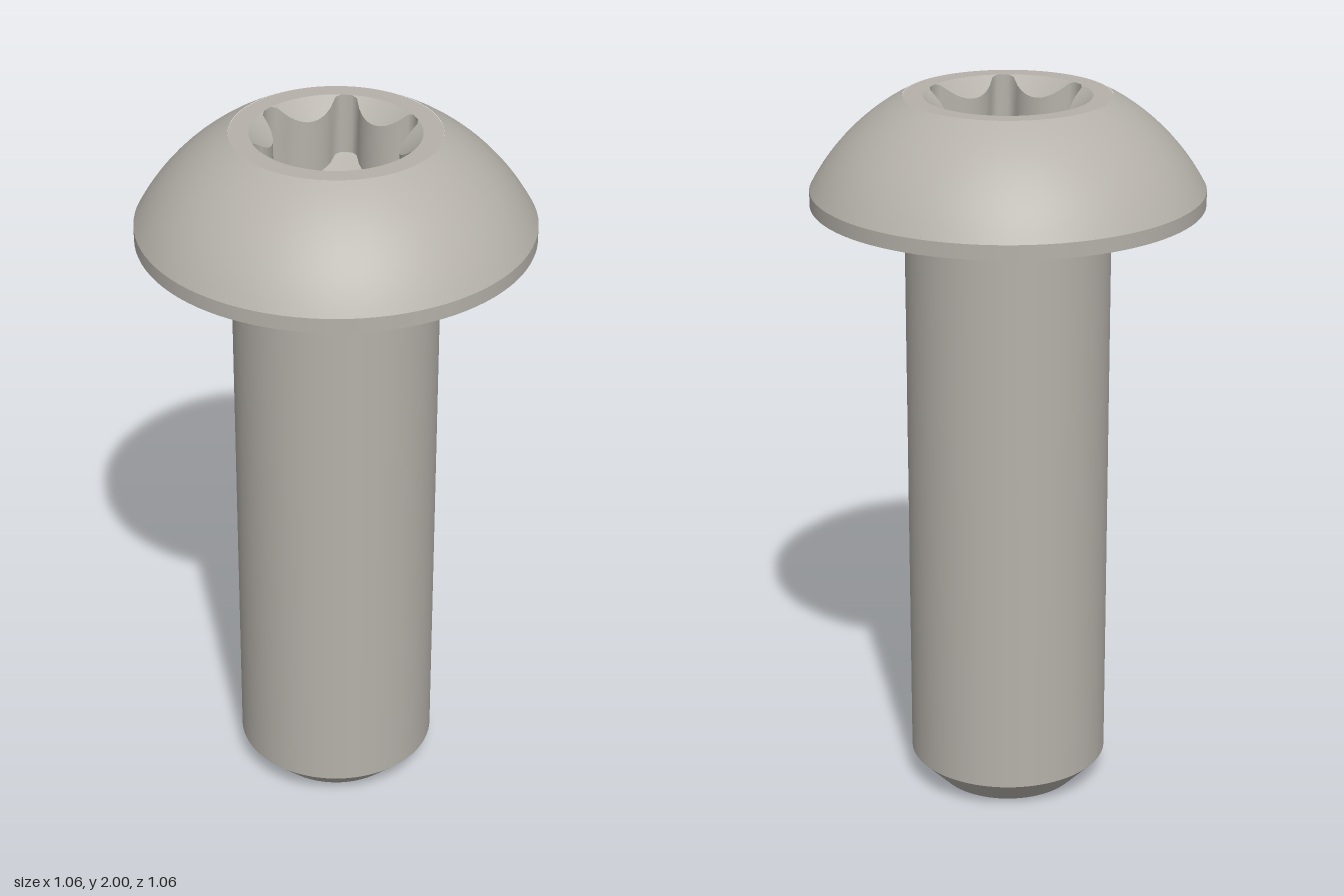
import * as THREE from 'three';

const SEG = 96;

export function createModel() {
  const group = new THREE.Group();
  group.name = 'socketScrew';
  const steel = new THREE.MeshStandardMaterial({ color: 0xb5b1aa });
  steel.name = 'warm grey steel';

  const add = (geometry, name) => {
    const mesh = new THREE.Mesh(geometry, steel);
    mesh.name = name;
    group.add(mesh);
  };

  // One smooth surface of revolution; separate sections keep sharp edges
  const turned = (name, points) =>
    add(new THREE.LatheGeometry(points.map(([r, y]) => new THREE.Vector2(r, y)), SEG), name);

  const arc = (cx, cy, r, from, to, n) =>
    Array.from({ length: n + 1 }, (_, i) => {
      const a = from + (to - from) * i / n;
      return [cx + r * Math.cos(a), cy + r * Math.sin(a)];
    });

  // Band between two closed rings, each a function angle -> [radius, height]
  const band = (name, outer, inner) => {
    const pos = [], index = [];
    for (let i = 0; i < SEG; i++) {
      const t = i / SEG * Math.PI * 2;
      for (const ring of [outer, inner]) {
        const [r, y] = ring(t);
        pos.push(r * Math.cos(t), y, r * Math.sin(t));
      }
      const a = 2 * i, b = a + 1, c = 2 * ((i + 1) % SEG), d = c + 1;
      index.push(a, b, c, b, d, c);
    }
    const g = new THREE.BufferGeometry();
    g.setAttribute('position', new THREE.Float32BufferAttribute(pos, 3));
    g.setIndex(index);
    g.computeVertexNormals();
    add(g, name);
  };

  // Shank
  const shank = 0.278, fillet = 0.03, under = 1.71;
  turned('tipFace', [[0, 0], [0.2, 0]]);
  turned('tipChamfer', [[0.2, 0], [shank, 0.08]]);
  turned('shank', [
    [shank, 0.08],
    ...arc(shank + fillet, under - fillet, fillet, Math.PI, Math.PI / 2, 6),
  ]);

  // Domed head
  turned('headUnderside', [[shank + fillet, under], [0.53, under]]);
  turned('headRim', [[0.53, under], [0.53, 1.75]]);
  const domeY = 1.47;
  turned('headDome', arc(0, domeY, Math.hypot(0.53, 0.28),
    Math.atan2(0.28, 0.53), Math.atan2(0.53, shank), 12));

  // Six-lobed socket: circular scallops between narrow tips
  const tip = 0.225, d = 0.278, rho = 0.113;
  const lobe = (t) => {
    const step = Math.PI / 3;
    const phi = ((t % step) + step) % step - step / 2;
    const q = rho * rho - (d * Math.sin(phi)) ** 2;
    return q > 0 ? Math.min(tip, d * Math.cos(phi) - Math.sqrt(q)) : tip;
  };
  const edge = (t) => [lobe(t), 2 - (tip - lobe(t)) * 0.75];
  const foot = (t) => [lobe(t), 1.72 + lobe(t) * 0.5];
  band('headTopRing', () => [shank, 2], () => [tip, 2]);
  band('socketChamfer', () => [tip, 2], edge);
  band('socketWall', edge, foot);
  band('socketFloor', foot, () => [0, 1.72]);

  return group;
}
